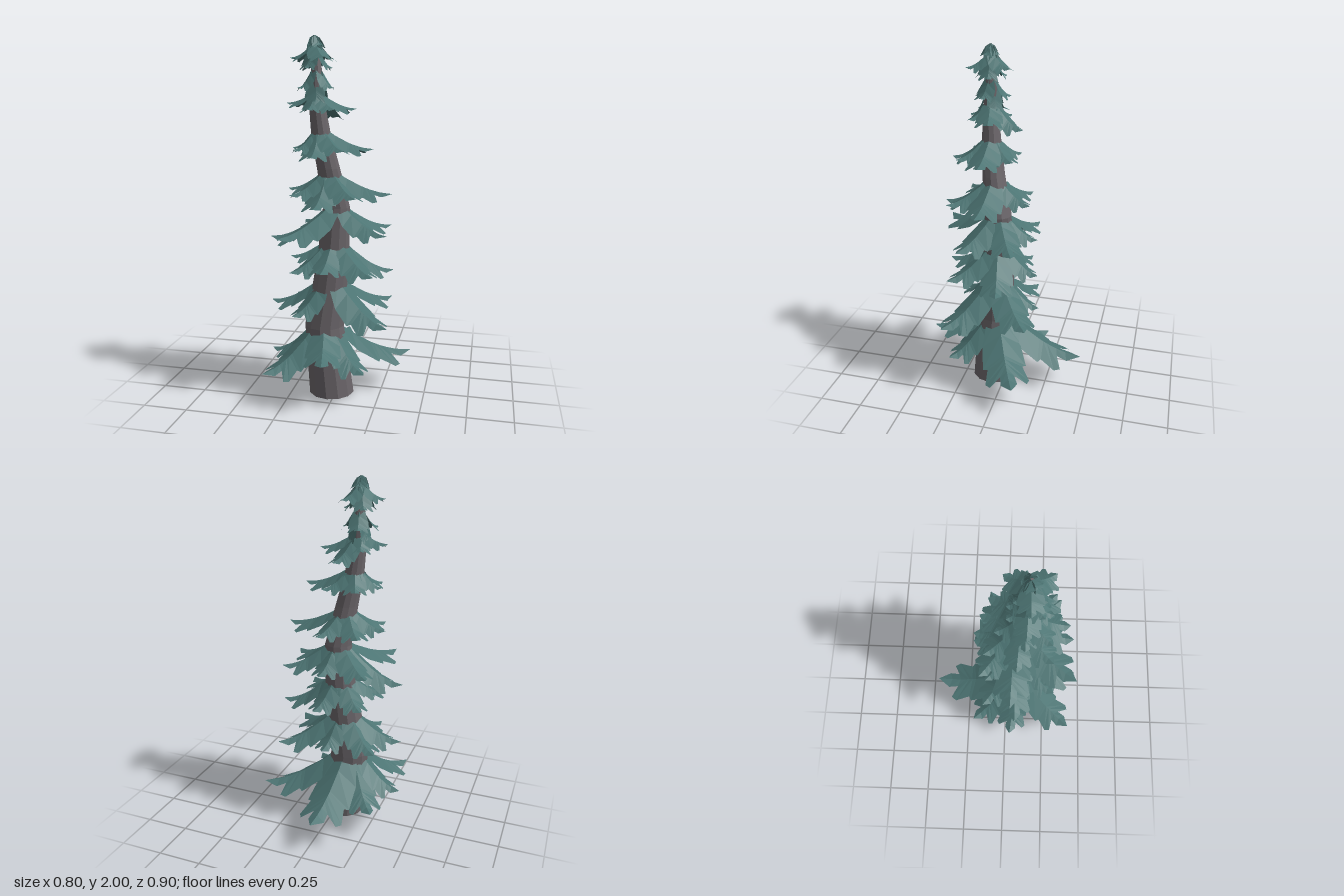
import * as THREE from 'three';

// trunk centreline: [y, x, z, radius]
const SPINE = [
  [0, -0.03, 0.08, 0.13], [0.4, -0.072, 0.075, 0.113], [0.6, -0.047, 0.062, 0.102],
  [0.8, -0.025, 0.05, 0.092], [1.08, -0.008, 0.045, 0.077], [1.3, -0.045, 0.08, 0.065],
  [1.48, -0.08, 0.1, 0.055], [1.65, -0.1, 0.11, 0.044], [1.8, -0.1, 0.105, 0.032], [1.98, -0.11, 0.11, 0.012],
];

// tiers of boughs: attachment height, drop, tips as [x, z, optional y]
const TIERS = [
  { y: 0.41, drop: 0.2, tips: [[-0.035, -0.455, 0.19], [0.4, -0.135, 0.2], [-0.4, 0.03, 0.21], [-0.34, 0.41, 0.21], [0, 0.45, 0.3], [-0.3, -0.21, 0.17], [0.2, 0.3]] },
  { y: 0.67, drop: 0.16, tips: [[-0.39, 0.06, 0.52], [-0.29, -0.14], [0, -0.2], [0.28, -0.18], [0.32, 0.3, 0.48], [-0.2, 0.3]] },
  { y: 0.89, drop: 0.14, tips: [[-0.26, 0.1, 0.8], [-0.2, -0.12], [0.05, -0.2], [0.31, -0.02, 0.72], [0.24, 0.28], [-0.03, 0.34, 0.77], [-0.22, 0.28]] },
  { y: 1.09, drop: 0.13, tips: [[-0.4, 0.03, 0.89], [-0.24, -0.15], [0.02, -0.19], [0.28, -0.1], [0.3, 0.2], [-0.25, 0.4]] },
  { y: 1.28, drop: 0.11, tips: [[-0.28, 0.06, 1.18], [-0.18, -0.12], [0.05, -0.15], [0.31, 0.09], [0.15, 0.3], [-0.06, 0.37, 1.12], [-0.22, 0.26]] },
  { y: 1.51, drop: 0.1, tips: [[-0.24, 0.1], [-0.14, -0.06], [0.06, -0.05], [0.21, 0.1], [0.08, 0.26], [-0.08, 0.33, 1.38], [-0.2, 0.24]] },
  { y: 1.7, drop: 0.08, tips: [[-0.27, 0.1, 1.65], [-0.15, 0], [-0.02, -0.09, 1.57], [0.11, 0.07], [0.02, 0.2], [-0.12, 0.23]] },
  { y: 1.83, drop: 0.11, tips: ring(1.83, 0.1, 0.11, 0.3) },
  { y: 1.96, drop: 0.07, tips: ring(1.96, 0.075, 0.14, 3.1) },
  { y: 2.0, drop: 0.06, tips: ring(2.0, 0.05, 0.045, 0.6) },
];

// half bough outline: [ridge position, edge position, edge half-width]
const OUTLINE = [
  [0, 0, 0.18], [0.2, 0.23, 0.28], [0.45, 0.5, 0.31], [0.5, 0.53, 0.25], [0.55, 0.72, 0.31],
  [0.6, 0.79, 0.26], [0.68, 0.71, 0.1], [0.8, 0.84, 0.115], [1, 1, 0],
];

// ring of tips for the small crown tiers, alternating long and short steep boughs
function ring(y, drop, reach, turn) {
  return Array.from({ length: 6 }, (_, i) => {
    const a = turn + (i * Math.PI) / 3, r = reach * (i % 2 ? 0.65 : 1);
    return [-0.105 + r * Math.cos(a), 0.108 + r * Math.sin(a), y - drop * (i % 2 ? 1.7 : 1)];
  });
}

function trunkAt(y) {
  let i = 0;
  while (i < SPINE.length - 2 && SPINE[i + 1][0] < y) i++;
  const a = SPINE[i], b = SPINE[i + 1];
  const k = Math.min(1, (y - a[0]) / (b[0] - a[0]));
  return a.map((v, j) => v + (b[j] - v) * k);
}

// jagged bough, folded along its ridge and sweeping outward to its tip
function boughGeometry(y, tipX, tipY, tipZ) {
  const [, cx, cz, r] = trunkAt(y);
  const reach = Math.hypot(tipX - cx, tipZ - cz);
  const dx = (tipX - cx) / reach, dz = (tipZ - cz) / reach;
  const start = r * 0.6, length = reach - start, width = 0.12 + 0.65 * length;
  const point = (t, w) => {
    const d = start + t * length, s = w * width;
    const h = y + (tipY - y) * (1 - Math.pow(1 - t, 1.85)) - 0.55 * Math.abs(s) * (1 - 0.2 * t);
    return [cx + dx * d - dz * s, h, cz + dz * d + dx * s];
  };
  const pos = [];
  for (const side of [1, -1]) {
    for (let i = 0; i < OUTLINE.length - 1; i++) {
      const [s0, e0, w0] = OUTLINE[i], [s1, e1, w1] = OUTLINE[i + 1];
      const a = point(s0, 0), b = point(s1, 0), c = point(e1, side * w1), d = point(e0, side * w0);
      const tris = side > 0 ? [a, c, b, a, d, c] : [a, b, c, a, c, d];
      tris.forEach((p) => pos.push(...p));
    }
  }
  const g = new THREE.BufferGeometry();
  g.setAttribute('position', new THREE.Float32BufferAttribute(pos, 3));
  g.computeVertexNormals();
  return g;
}

// twelve-sided cylinder bent and tapered along the centreline
function trunkGeometry() {
  const rows = SPINE.length - 1;
  const g = new THREE.CylinderGeometry(1, 1, 1, 12, rows);
  const p = g.attributes.position;
  for (let i = 0; i < p.count; i++) {
    const [y, x, z, r] = SPINE[Math.round((p.getY(i) + 0.5) * rows)];
    p.setXYZ(i, x + p.getX(i) * r, y, z + p.getZ(i) * r);
  }
  g.computeVertexNormals();
  return g;
}

export function createModel() {
  const bark = new THREE.MeshStandardMaterial({ color: 0x696468, flatShading: true });
  bark.name = 'bark';
  const needles = new THREE.MeshStandardMaterial({ color: 0x4c7473, flatShading: true, side: THREE.DoubleSide });
  needles.name = 'needles';

  const tree = new THREE.Group();
  tree.name = 'firTree';
  const trunk = new THREE.Mesh(trunkGeometry(), bark);
  trunk.name = 'trunk';
  tree.add(trunk);

  TIERS.forEach(({ y, drop, tips }, n) => {
    const tier = new THREE.Group();
    tier.name = `boughTier${n + 1}`;
    for (const [x, z, tipY = y - drop] of tips) {
      const bough = new THREE.Mesh(boughGeometry(y, x, tipY, z), needles);
      bough.name = 'bough';
      tier.add(bough);
    }
    tree.add(tier);
  });
  return tree;
}
